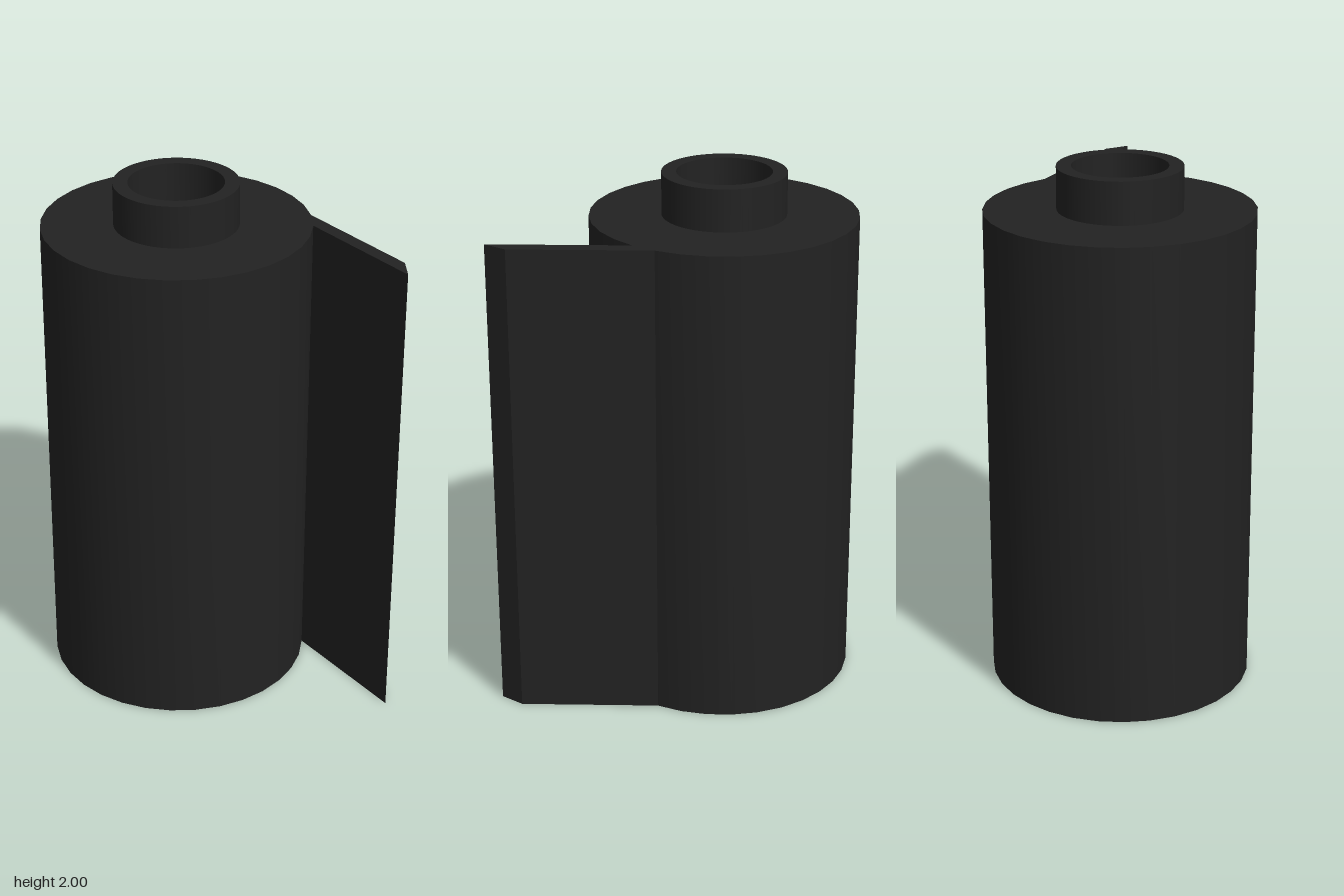
import * as THREE from 'three';
import { toCreasedNormals } from 'three/addons/utils/BufferGeometryUtils.js';

const CENTRE_X = -0.073, CENTRE_Z = -0.098;
const RADIUS = 0.5, HEIGHT = 1.84, SIDES = 32;

// Hollow upright cylinder standing on y = 0
function ring(inner, outer, height, sides) {
  const profile = [[inner, 0], [outer, 0], [outer, height], [inner, height], [inner, 0]]
    .map(([r, y]) => new THREE.Vector2(r, y));
  return toCreasedNormals(new THREE.LatheGeometry(profile, sides), 0.5);
}

export function createModel() {
  const model = new THREE.Group();
  model.name = 'roll';
  const black = new THREE.MeshStandardMaterial({ color: 0x222222 });
  black.name = 'black';

  function add(name, geometry) {
    const mesh = new THREE.Mesh(geometry, black);
    mesh.name = name;
    model.add(mesh);
    return mesh;
  }

  // Wound sheet and the taller tube it is wound on
  add('woundSheet', ring(0.232, RADIUS, HEIGHT, SIDES)).position.set(CENTRE_X, 0, CENTRE_Z);
  add('core', ring(0.177, 0.232, 2, 64)).position.set(CENTRE_X, 0, CENTRE_Z);

  // Loose end, leaving the roll along one of its sides; shape y is -z
  const rim = (step) => {
    const a = step * Math.PI * 2 / SIDES;
    return new THREE.Vector2(CENTRE_X + RADIUS * Math.cos(a), -(CENTRE_Z + RADIUS * Math.sin(a)));
  };
  const outline = new THREE.Shape([
    rim(1), rim(2), new THREE.Vector2(0.544, -0.593), new THREE.Vector2(0.573, -0.5),
  ]);
  const flap = new THREE.ExtrudeGeometry(outline, { depth: HEIGHT, bevelEnabled: false });
  flap.rotateX(-Math.PI / 2);
  add('looseEnd', flap);

  return model;
}
